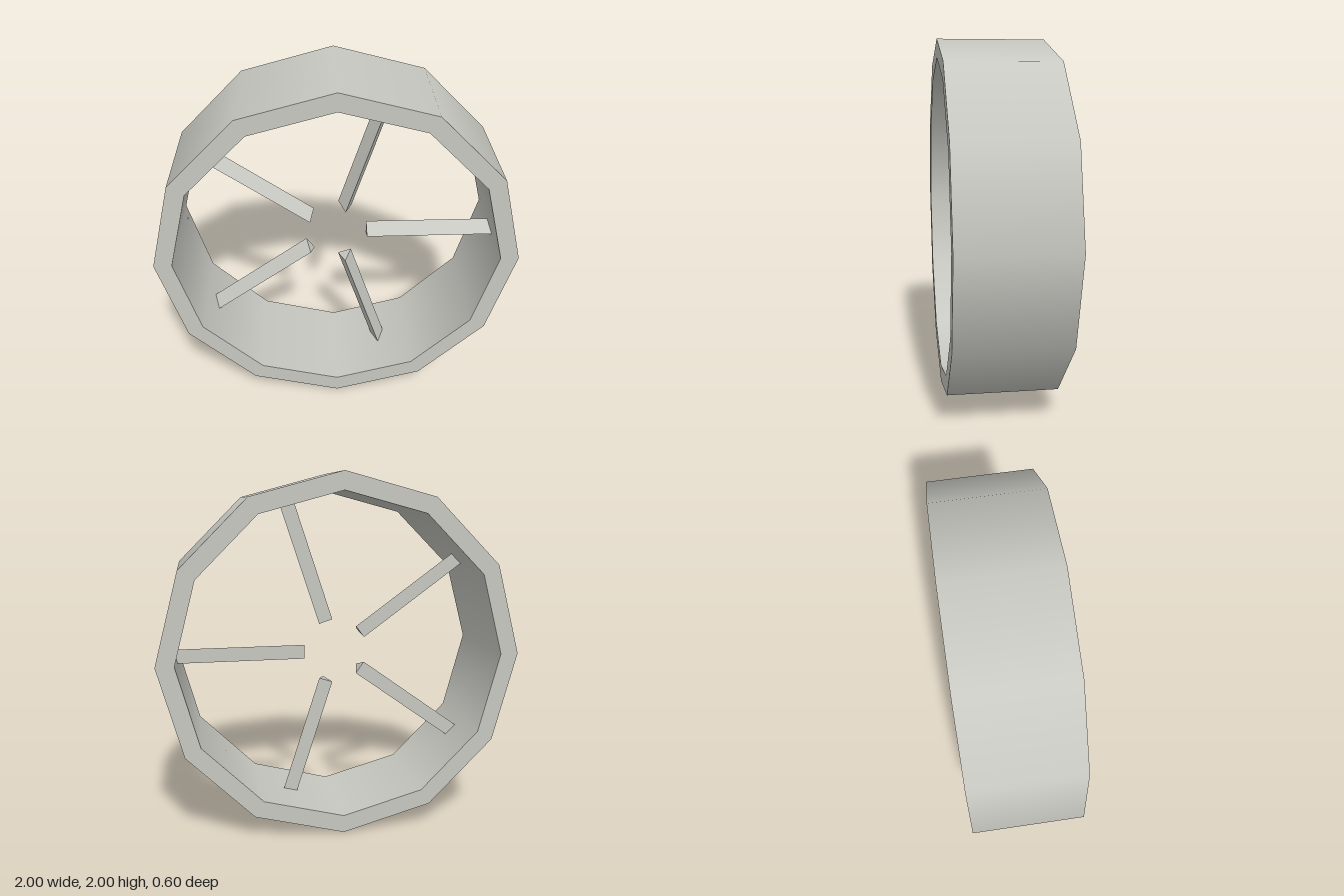
import * as THREE from 'three';
import { mergeGeometries } from 'three/addons/utils/BufferGeometryUtils.js';

const SIDES = 12, OUTER = 1, INNER = 0.9, HALF = 0.3;
const SPOKES = 5, SPOKE_START = 0.18;

// Twelve-sided band: four lathed strips, so walls stay smooth and rims sharp
function rimGeometry() {
  const profile = [[OUTER, -HALF], [OUTER, HALF], [INNER, HALF], [INNER, -HALF]]
    .map(([r, y]) => new THREE.Vector2(r, y));
  const strips = profile.map((p, i) =>
    new THREE.LatheGeometry([p, profile[(i + 1) % profile.length]], SIDES));
  return mergeGeometries(strips).rotateX(Math.PI / 2);
}

// Triangular bar along +x, with its ridge facing the front
function spokeGeometry() {
  const section = new THREE.Shape([
    new THREE.Vector2(-0.04, -0.034),
    new THREE.Vector2(0.04, -0.034),
    new THREE.Vector2(0, 0.066),
  ]);
  const bar = new THREE.ExtrudeGeometry(section, { depth: INNER - SPOKE_START, bevelEnabled: false });
  const turn = new THREE.Matrix4().makeBasis(
    new THREE.Vector3(0, 1, 0), new THREE.Vector3(0, 0, 1), new THREE.Vector3(1, 0, 0));
  return bar.applyMatrix4(turn).translate(SPOKE_START, 0, 0);
}

export function createModel() {
  const model = new THREE.Group();
  model.name = 'wheel';
  const paleGrey = new THREE.MeshStandardMaterial({ color: 0xc8c8c2 });
  paleGrey.name = 'paleGrey';

  const rim = new THREE.Mesh(rimGeometry(), paleGrey);
  rim.name = 'rim';
  rim.position.y = OUTER;
  model.add(rim);

  // Five spokes reaching inwards around an open centre
  const spokeShape = spokeGeometry();
  for (let i = 0; i < SPOKES; i++) {
    const spoke = new THREE.Mesh(spokeShape, paleGrey);
    spoke.name = `spoke${i + 1}`;
    spoke.position.y = OUTER;
    spoke.rotation.z = (i / SPOKES) * Math.PI * 2;
    model.add(spoke);
  }
  return model;
}
